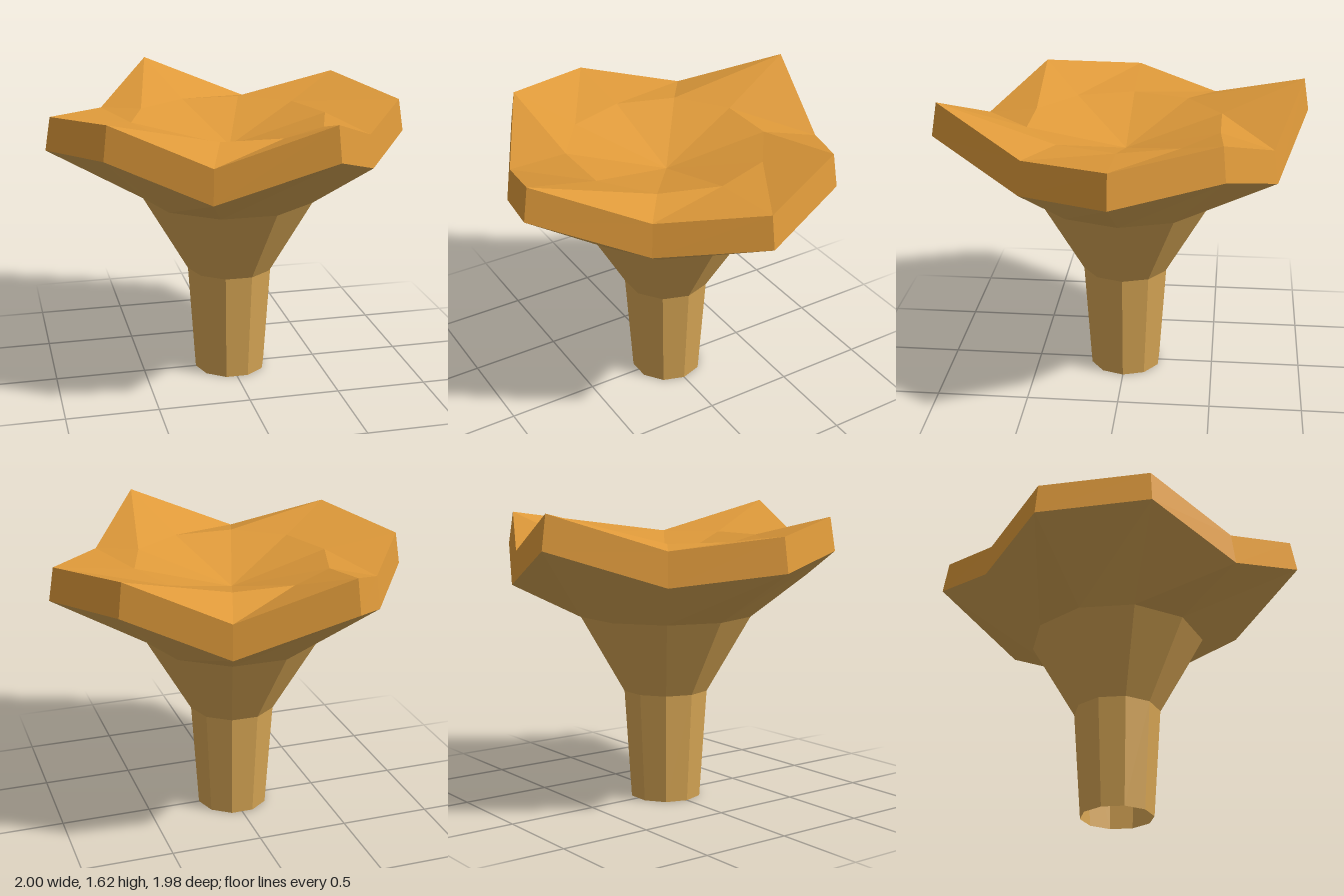
import * as THREE from 'three';

const SIDES = 10;
// Rim radius and lower-edge height, repeating every half turn
const RIM_R = [1.0, 0.94, 0.863, 1.04, 0.82];
const RIM_Y = [1.33, 1.4, 1.22, 1.445, 1.26];

// Ring of points; radius and height may depend on the index
function ring(radius, height) {
  return Array.from({ length: SIDES }, (_, i) => {
    const a = (i / SIDES) * Math.PI * 2;
    const r = radius(i), y = height(i);
    return [r * Math.cos(a), y, -r * Math.sin(a)];
  });
}
const roundRing = (r, y) => ring(() => r, () => y);
const rimRing = (scale, lift) => ring(i => RIM_R[i % 5] * scale, i => RIM_Y[i % 5] + lift);

// Faceted skin through successive rings, listed from below to above
function loft(rings) {
  const pos = [];
  for (let k = 0; k < rings.length - 1; k++) {
    const lo = rings[k], up = rings[k + 1];
    for (let i = 0; i < SIDES; i++) {
      const j = (i + 1) % SIDES;
      pos.push(...lo[i], ...up[j], ...up[i], ...lo[i], ...lo[j], ...up[j]);
    }
  }
  const g = new THREE.BufferGeometry();
  g.setAttribute('position', new THREE.Float32BufferAttribute(pos, 3));
  g.computeVertexNormals();
  return g;
}

export function createModel() {
  const group = new THREE.Group();
  group.name = 'mushroom';
  const capMat = new THREE.MeshStandardMaterial({ color: 0xdf9a3a, flatShading: true, side: THREE.DoubleSide });
  capMat.name = 'cap orange';
  const stemMat = new THREE.MeshStandardMaterial({ color: 0xd6a554, flatShading: true, side: THREE.DoubleSide });
  stemMat.name = 'stem tan';

  const add = (name, rings, mat) => {
    const mesh = new THREE.Mesh(loft(rings), mat);
    mesh.name = name;
    group.add(mesh);
  };

  const rimLow = rimRing(1, 0);
  const rimTop = rimRing(0.97, 0.18);

  // Stem, open at the foot and flaring towards the cap
  add('stem', [roundRing(0.2, 0), roundRing(0.24, 0.605), roundRing(0.485, 1.03)], stemMat);
  // Underside of the cap
  add('capUnderside', [roundRing(0.485, 1.03), rimLow], stemMat);
  // Wavy rim wall
  add('capRim', [rimLow, rimTop], capMat);
  // Dished top, sinking to the centre
  add('capTop', [rimTop, roundRing(0.54, 1.457)], capMat);
  add('capHollow', [roundRing(0.54, 1.457), roundRing(0.0001, 1.3)], capMat);
  return group;
}
